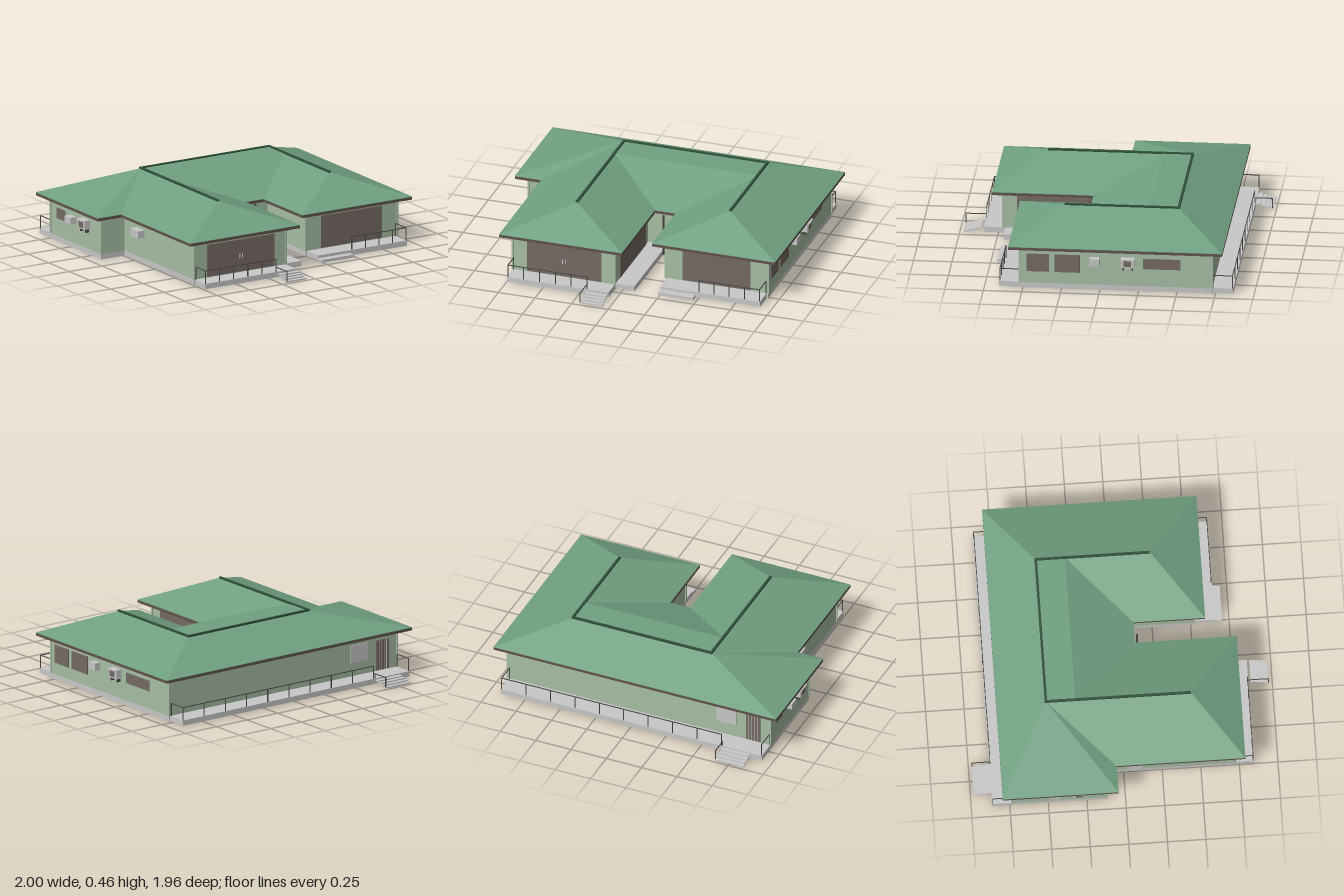
import * as THREE from 'three';

const mat = (name, color, extra = {}) => {
  const m = new THREE.MeshStandardMaterial({ color, ...extra });
  m.name = name;
  return m;
};

export function createModel() {
  const roofGreen = mat('roof green', 0x70a081, { flatShading: true });
  const ridgeGreen = mat('ridge dark green', 0x2f5039);
  const wallGreen = mat('wall pale green', 0xa6bea4);
  const brown = mat('window brown', 0x766a64);
  const fasciaBrown = mat('fascia dark brown', 0x62524b);
  const grey = mat('concrete grey', 0xc8c8c8);
  const railGrey = mat('rail dark grey', 0x4c4a48);

  const house = new THREE.Group();
  house.name = 'house';

  const add = (name, geo, material) => {
    const m = new THREE.Mesh(geo, material);
    m.name = name;
    house.add(m);
    return m;
  };
  // Box given by its limits on each axis
  const box = (name, material, x0, x1, y0, y1, z0, z1) => {
    const g = new THREE.BoxGeometry(Math.abs(x1 - x0), Math.abs(y1 - y0), Math.abs(z1 - z0));
    g.translate((x0 + x1) / 2, (y0 + y1) / 2, (z0 + z1) / 2);
    return add(name, g, material);
  };
  // Flat plan outline in x, z raised between two heights
  const slab = (name, material, plan, y0, y1) => {
    const shape = new THREE.Shape(plan.map(([x, z]) => new THREE.Vector2(x, -z)));
    const g = new THREE.ExtrudeGeometry(shape, { depth: y1 - y0, bevelEnabled: false });
    g.rotateX(-Math.PI / 2).translate(0, y0, 0);
    return add(name, g, material);
  };

  // Foundation and walls
  const wallPlan = [[-0.93, -0.73], [0.93, -0.73], [0.93, 0.52], [0.23, 0.52], [0.23, 0.06],
    [-0.05, 0.06], [-0.05, 0.72], [-0.75, 0.72], [-0.75, -0.12], [-0.93, -0.12]];
  slab('foundation', grey, wallPlan, 0.005, 0.04);
  slab('walls', wallGreen, wallPlan, 0.04, 0.29);

  // Corner trim
  [[-0.93, -0.73], [0.93, -0.73], [0.93, 0.52], [0.23, 0.52], [-0.05, 0.72], [-0.75, 0.72], [-0.93, -0.12]]
    .forEach(([x, z]) => box('cornerTrim', wallGreen, x - 0.006, x + 0.006, 0.04, 0.289, z - 0.006, z + 0.006));

  // Roof
  const eavePlan = [[-1, -0.8], [1, -0.8], [1, 0.59], [0.16, 0.59], [0.16, 0.125],
    [0.02, 0.125], [0.02, 0.785], [-0.82, 0.785], [-0.82, -0.05], [-1, -0.05]];
  slab('fascia', fasciaBrown, eavePlan, 0.287, 0.305);
  const E = 0.308, R = 0.455;
  const a = [-0.4, R, 0.46], b = [-0.4, R, -0.48], c = [0.58, R, -0.48], d = [0.58, R, 0.26];
  const p = [-0.4, R, -0.29], q = [0.58, R, -0.29];
  const e = eavePlan.map(([x, z]) => [x, E, z]);
  const faces = [
    [e[0], e[1], c, b],          // back slope
    [e[1], e[2], d, c],          // right slope
    [e[2], e[3], d],             // right wing hip
    [e[3], e[4], q, d],          // right wing inner slope
    [e[4], e[5], p, q],          // courtyard slope
    [p, b, c, q],                // flat top
    [e[5], e[6], a, p],          // left wing inner slope
    [e[6], e[7], a],             // left wing hip
    [e[7], e[8], b, a],          // left slope
    [e[8], e[9], b],             // side bay hip
    [e[9], e[0], b],             // side bay slope
  ];
  const pos = [];
  const up = (u, v, w) => {
    const ny = (v[2] - u[2]) * (w[0] - u[0]) - (v[0] - u[0]) * (w[2] - u[2]);
    pos.push(...u, ...(ny > 0 ? [...v, ...w] : [...w, ...v]));
  };
  faces.forEach((f) => {
    for (let i = 1; i < f.length - 1; i++) up(f[0], f[i], f[i + 1]);
  });
  const roofGeo = new THREE.BufferGeometry();
  roofGeo.setAttribute('position', new THREE.Float32BufferAttribute(pos, 3));
  roofGeo.computeVertexNormals();
  add('roof', roofGeo, roofGreen);
  slab('roofEdge', roofGreen, eavePlan, 0.305, 0.3075);

  // Ridge caps
  const rw = 0.008;
  box('ridgeLeft', ridgeGreen, a[0] - rw, a[0] + rw, 0.448, 0.463, -0.488, 0.46);
  box('ridgeRight', ridgeGreen, c[0] - rw, c[0] + rw, 0.448, 0.463, -0.488, 0.26);
  box('ridgeBack', ridgeGreen, -0.4, 0.58, 0.448, 0.463, -0.488, -0.472);

  // Verandas and courtyard walkway
  box('verandaLeft', grey, -0.745, -0.05, 0.005, 0.04, 0.72, 0.845);
  box('verandaRight', grey, 0.24, 0.92, 0.005, 0.04, 0.52, 0.655);
  box('verandaBack', grey, -0.93, 0.92, 0.005, 0.04, -0.865, -0.73);
  box('walkway', grey, -0.05, 0.08, 0.005, 0.04, 0.06, 0.705);
  box('lowStep', grey, 0.24, 0.48, 0.003, 0.022, 0.655, 0.705);

  // Stairs going away from a veranda edge
  const stairs = (x0, x1, z, dir) => {
    for (let i = 0; i < 4; i++) {
      const y = 0.032 - i * 0.008;
      box('stair', grey, x0, x1, y - 0.008, y, z + dir * i * 0.028, z + dir * (i + 1) * 0.028 + dir * 0.004);
    }
  };
  stairs(-0.2, -0.05, 0.86, 1);
  stairs(-0.85, -0.65, -0.865, -1);

  // Railings: straight run with posts, top bar and foot bar
  const t = 0.0025;
  const railing = (x0, z0, x1, z1, posts, base = 0.04, top = 0.125) => {
    for (let i = 0; i <= posts; i++) {
      const x = x0 + ((x1 - x0) * i) / posts, z = z0 + ((z1 - z0) * i) / posts;
      box('railPost', railGrey, x - t, x + t, base, top, z - t, z + t);
    }
    const bar = (y) => box('railBar', railGrey, Math.min(x0, x1) - t, Math.max(x0, x1) + t,
      y - t, y + t, Math.min(z0, z1) - t, Math.max(z0, z1) + t);
    bar(top);
    return bar;
  };
  railing(-0.74, 0.84, -0.2, 0.84, 5);
  railing(-0.74, 0.725, -0.74, 0.84, 1);
  railing(0.5, 0.65, 0.915, 0.65, 4);
  railing(0.915, 0.525, 0.915, 0.65, 1);
  railing(-0.64, -0.86, 0.915, -0.86, 9);
  railing(0.915, -0.86, 0.915, -0.735, 1);
  railing(-0.925, -0.86, -0.925, -0.735, 1);
  [[-0.2, 0.84, 0.975], [-0.65, -0.86, -0.975]]
    .forEach(([x, z0, z1]) => railing(x, z0, x, z1, 1, 0.005, 0.072));

  // Glazing on walls facing z (dir is the outward side)
  const paneZ = (name, m, x0, x1, y0, y1, z, dir) => box(name, m, x0, x1, y0, y1, z, z + dir * 0.006);
  const paneX = (name, m, z0, z1, y0, y1, x, dir) => box(name, m, x, x + dir * 0.006, y0, y1, z0, z1);
  paneZ('frontDoorLeft', brown, -0.65, -0.14, 0.045, 0.26, 0.72, 1);
  paneZ('frontDoorRight', brown, 0.345, 0.81, 0.045, 0.26, 0.52, 1);
  [-0.405, -0.385].forEach((x) => box('doorHandle', grey, x - 0.003, x + 0.003, 0.135, 0.165, 0.72, 0.732));
  paneX('courtyardDoor', brown, 0.12, 0.63, 0.045, 0.26, -0.05, 1);
  paneX('sideWindow', brown, 0.33, 0.475, 0.12, 0.24, 0.93, 1);
  paneX('sideWindow', brown, 0.13, 0.293, 0.12, 0.24, 0.93, 1);
  paneX('sideWindow', brown, -0.525, -0.28, 0.16, 0.23, 0.93, 1);
  paneX('bayWindow', brown, -0.65, -0.55, 0.16, 0.23, -0.93, -1);

  // Back window and barred back door
  paneZ('backWindow', grey, -0.69, -0.55, 0.13, 0.245, -0.73, -1);
  paneZ('backDoor', brown, -0.86, -0.76, 0.045, 0.245, -0.73, -1);
  for (let i = 1; i < 5; i++) {
    const x = -0.86 + i * 0.02;
    box('doorBar', grey, x - 0.002, x + 0.002, 0.045, 0.245, -0.738, -0.736);
  }

  // Wall boxes and bracketed units
  box('wallUnit', grey, 0.93, 0.97, 0.18, 0.23, 0.0, 0.065);
  box('wallUnit', grey, -0.975, -0.93, 0.178, 0.22, -0.49, -0.42);
  box('wallUnit', grey, -0.8, -0.75, 0.18, 0.23, 0.02, 0.12);
  const bracketUnit = (x, dir, z) => {
    box('unitCase', grey, x, x + dir * 0.04, 0.175, 0.23, z - 0.042, z + 0.042);
    box('unitHood', grey, x, x + dir * 0.05, 0.228, 0.236, z - 0.044, z + 0.044);
    box('unitGrille', brown, x + dir * 0.04, x + dir * 0.044, 0.185, 0.228, z - 0.024, z + 0.024);
    [-0.03, 0.03].forEach((o) =>
      box('unitBracket', railGrey, x, x + dir * 0.028, 0.152, 0.175, z + o - 0.004, z + o + 0.004));
  };
  bracketUnit(0.93, 1, -0.183);
  bracketUnit(-0.93, -1, -0.3);

  // Courtyard downpipe
  box('downpipe', railGrey, 0.079, 0.087, 0.005, 0.288, 0.135, 0.148);

  return house;
}
